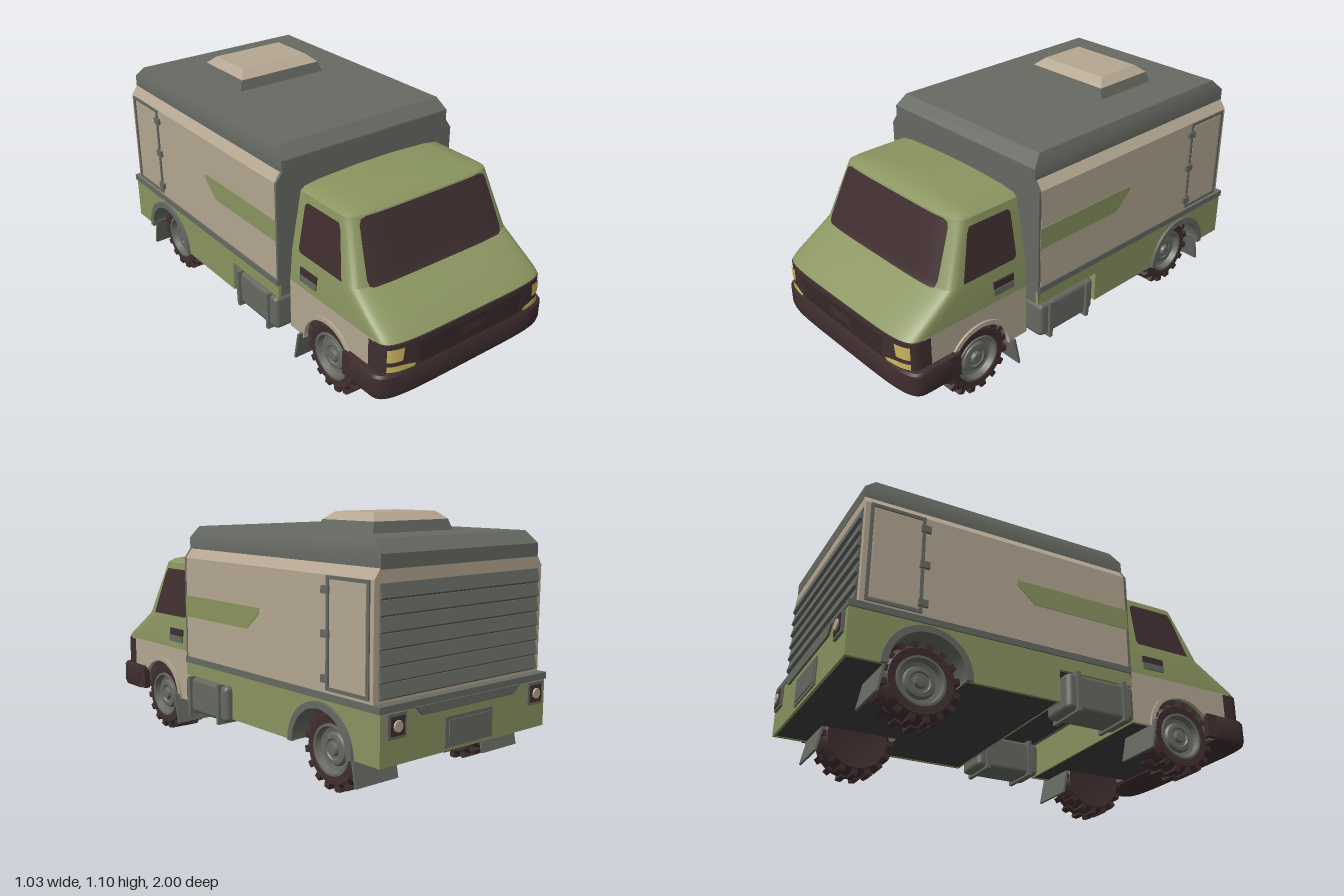
import * as THREE from 'three';
import { toCreasedNormals } from 'three/addons/utils/BufferGeometryUtils.js';
import { RoundedBoxGeometry } from 'three/addons/geometries/RoundedBoxGeometry.js';

const colour = (name, color, side = THREE.FrontSide) => {
  const m = new THREE.MeshStandardMaterial({ color, side });
  m.name = name;
  return m;
};

export function createModel() {
  const green = colour('olive green', 0x8a9560);
  const beige = colour('sand beige', 0xb5a792);
  const grey = colour('panel grey', 0x666a62, THREE.DoubleSide);
  const maroon = colour('dark maroon', 0x402e30);
  const black = colour('grille shadow', 0x2c2021);
  const yellow = colour('lamp yellow', 0xcbb35f);
  const floor = colour('underbody', 0x3c3e3b);

  const root = new THREE.Group();
  root.name = 'boxTruck';
  const add = (name, geo, mat, x = 0, y = 0, z = 0, parent = root) => {
    const m = new THREE.Mesh(geo, mat);
    m.name = name;
    m.position.set(x, y, z);
    parent.add(m);
    return m;
  };
  // box given by its limits
  const box = (name, mat, x0, x1, y0, y1, z0, z1) =>
    add(name, new THREE.BoxGeometry(x1 - x0, y1 - y0, z1 - z0), mat, (x0 + x1) / 2, (y0 + y1) / 2, (z0 + z1) / 2);
  const boxes = (name, mat, x0, x1, ...r) => {
    box(name, mat, x0, x1, ...r);
    box(name, mat, -x1, -x0, ...r);
  };
  const makeShape = pts => new THREE.Shape(pts.map(p => new THREE.Vector2(...p)));
  const extrude = (shape, depth) => new THREE.ExtrudeGeometry(shape, { depth, bevelEnabled: false, curveSegments: 16 });
  // plates drawn in (z, y), one on each side, outer face at x = X
  const sidePlates = (name, mat, shape, X, t) => {
    const geo = extrude(shape, t).rotateY(-Math.PI / 2);
    add(name, geo, mat, X);
    add(name, geo, mat, t - X);
  };
  const mesh = (pos, idx) => {
    const g = new THREE.BufferGeometry();
    g.setAttribute('position', new THREE.Float32BufferAttribute(pos.flat(), 3));
    g.setIndex(idx);
    return toCreasedNormals(g, 0.5);
  };
  // closed solid through rings stacked upwards
  const loft = rings => {
    const n = rings[0].length, idx = [], last = (rings.length - 1) * n;
    for (let i = 0; i < rings.length - 1; i++) for (let j = 0; j < n; j++) {
      const a = i * n + j, b = i * n + (j + 1) % n;
      idx.push(a, b, b + n, a, b + n, a + n);
    }
    for (let j = 1; j < n - 1; j++) idx.push(0, j + 1, j, last, last + j, last + j + 1);
    return mesh(rings.flat(), idx);
  };
  const rectRing = ([y, w, zf, zr]) => [[-w, y, zf], [w, y, zf], [w, y, zr], [-w, y, zr]];
  // outline with a rounded, bowed nose
  const noseRing = ([y, w, zf, d], zr) => {
    const ring = [];
    for (let i = -14; i <= 14; i++) {
      const a = i / 28 * Math.PI, s = Math.sin(a), c = Math.max(0, Math.cos(a));
      ring.push([w * Math.sign(s) * Math.abs(s) ** 0.4, y, zf - d + d * (Math.abs(i) === 14 ? 0 : c ** 0.4)]);
    }
    return [...ring, [w, y, zr], [-w, y, zr]];
  };
  const noseZ = (x, [, w, zf, d]) => zf - d + d * Math.max(0, 1 - Math.abs(x / w) ** 5) ** 0.2;
  const cabLevels = [[0.425, 0.446, 0.985, 0.12], [0.445, 0.445, 0.965, 0.12], [0.5, 0.44, 0.885, 0.12], [0.57, 0.434, 0.78, 0.11],
    [0.83, 0.387, 0.675, 0.1], [0.845, 0.366, 0.655, 0.1], [0.856, 0.29, 0.625, 0.1], [0.865, 0.1, 0.57, 0.08]];
  const cabAt = y => {
    const i = Math.max(1, cabLevels.findIndex(l => l[0] >= y)), a = cabLevels[i - 1], b = cabLevels[i];
    return a.map((v, k) => v + (b[k] - v) * (y - a[0]) / (b[0] - a[0]));
  };
  const panelAt = () => [0, 0.447, 0.988, 0.12];
  // thin skin on the nose; rows are [y, xLeft, xRight] going upwards
  const patch = (name, mat, rows, at, off = 0.006) => {
    const n = 20, pos = [], idx = [];
    rows.forEach(([y, xa, xb], r) => {
      for (let j = 0; j <= n; j++) {
        const x = xa + (xb - xa) * j / n;
        pos.push([x, y, noseZ(x, at(y)) + off]);
        if (r && j) { const c = r * (n + 1) + j, b = c - n - 1; idx.push(b - 1, b, c, b - 1, c, c - 1); }
      }
    });
    add(name, mesh(pos, idx), mat);
  };

  // cab shell and glass
  add('cab', loft(cabLevels.map(l => noseRing(l, 0.349))), green);
  patch('windscreen', maroon, [[0.568, -0.35, 0.35], [0.574, -0.366, 0.366], [0.6, -0.371, 0.371], [0.7, -0.359, 0.359],
    [0.8, -0.346, 0.346], [0.82, -0.336, 0.336], [0.828, -0.31, 0.31]], cabAt, 0.008);
  const pane = [[0.684, 0.578], [0.675, 0.61], [0.63, 0.775], [0.615, 0.8], [0.41, 0.8], [0.396, 0.785], [0.396, 0.595], [0.408, 0.58]];
  for (const s of [1, -1]) {
    const g = new THREE.ShapeGeometry(makeShape(pane.map(([z, y]) => [-s * z, y]))).rotateY(s * Math.PI / 2);
    const p = g.attributes.position;
    for (let i = 0; i < p.count; i++) p.setX(i, s * (cabAt(p.getY(i))[1] + 0.004));
    g.computeVertexNormals();
    add('sideWindow', g, maroon);
  }
  boxes('doorHandleRecess', maroon, 0.43, 0.446, 0.487, 0.52, 0.42, 0.53);
  boxes('doorHandle', grey, 0.43, 0.45, 0.457, 0.487, 0.42, 0.53);

  // skirts with wheel arches
  const frontZ = 0.614, rearZ = -0.645;
  const archedShape = (z0, cz, r, rest) => {
    const s = new THREE.Shape().moveTo(z0, 0.185);
    s.lineTo(cz - r, 0.185).absarc(cz, 0.185, r, Math.PI, 0, true);
    rest.forEach(p => s.lineTo(...p));
    return s;
  };
  const flare = (cz, r0, r1) => {
    const s = new THREE.Shape();
    s.absarc(cz, 0.185, r1, 0, Math.PI, false);
    s.absarc(cz, 0.185, r0, Math.PI, 0, true);
    return s;
  };
  sidePlates('cabSkirt', beige, archedShape(0.349, frontZ, 0.16, [[0.9, 0.185], [0.9, 0.425], [0.349, 0.425]]), 0.446, 0.015);
  sidePlates('rearSkirt', green, archedShape(-0.975, rearZ, 0.17,
    [[-0.05, 0.185], [-0.05, 0.33], [0.318, 0.33], [0.318, 0.392], [-0.975, 0.392]]), 0.487, 0.015);
  sidePlates('frontFlare', beige, flare(frontZ, 0.158, 0.178), 0.456, 0.02);
  sidePlates('rearFlare', grey, flare(rearZ, 0.165, 0.193), 0.5, 0.02);
  for (const s of [1, -1]) for (const [z, r, x] of [[frontZ, 0.16, 0.44], [rearZ, 0.17, 0.485]]) {
    const liner = new THREE.CylinderGeometry(r, r, x - 0.25, 18, 1, true, 0, Math.PI).rotateZ(Math.PI / 2);
    add('wheelWell', liner, grey, s * (x + 0.25) / 2, 0.185, z);
  }
  box('cabRearPanel', green, -0.445, 0.445, 0.185, 0.425, 0.345, 0.353);
  box('notchPanel', green, -0.487, 0.487, 0.185, 0.335, -0.054, -0.048);
  box('tailPanel', green, -0.487, 0.487, 0.185, 0.392, -0.978, -0.966);

  // underbody
  box('cabFloor', floor, -0.25, 0.25, 0.187, 0.42, 0.354, 0.93);
  box('chassis', floor, -0.25, 0.25, 0.187, 0.39, -0.966, -0.054);
  box('chassisStep', floor, -0.47, 0.47, 0.332, 0.39, -0.054, 0.312);
  boxes('cabFloorSide', floor, 0.25, 0.432, 0.187, 0.42, 0.354, frontZ - 0.16);
  boxes('cabFloorSide', floor, 0.25, 0.432, 0.187, 0.42, frontZ + 0.162, 0.9);
  boxes('chassisSide', floor, 0.25, 0.473, 0.187, 0.39, -0.966, rearZ - 0.17);
  boxes('chassisSide', floor, 0.25, 0.473, 0.187, 0.39, rearZ + 0.17, -0.054);

  // nose panel, lamps and bumper
  add('nosePanel', loft([0.285, 0.42].map(y => noseRing([y, 0.447, 0.988, 0.12], 0.89))), maroon);
  add('bumper', loft([[0.18, 0.47, 0.99, 0.12], [0.2, 0.476, 0.994, 0.12], [0.28, 0.476, 0.994, 0.12], [0.292, 0.47, 0.988, 0.12]]
    .map(l => noseRing(l, 0.79))), maroon);
  boxes('bumperEnd', maroon, 0.445, 0.474, 0.185, 0.292, 0.74, 0.8);
  for (let i = 0; i < 7; i++) {
    const y = 0.308 + i * 0.0135, x = 0.278 + i * 0.002;
    patch('grilleSlot', black, [[y, -x, x], [y + 0.006, -x, x]], panelAt, 0.003);
  }
  patch('grillePlate', maroon, [[0.34, -0.07, 0.07], [0.375, -0.07, 0.07]], panelAt, 0.007);
  const mirrorRows = rows => rows.map(([y, a, b]) => [y, -b, -a]);
  const lamp = [[0.345, 0.367, 0.43], [0.405, 0.36, 0.43]], signal = [[0.299, 0.31, 0.43], [0.312, 0.303, 0.43], [0.326, 0.375, 0.43]];
  for (const f of [r => r, mirrorRows]) {
    patch('headlamp', yellow, f(lamp), panelAt);
    patch('turnSignal', yellow, f(signal), panelAt);
  }

  // cargo box, bulkhead and roof
  const outline = makeShape([[-0.487, 0.39], [0.487, 0.39], [0.487, 0.876], [0.457, 0.917], [-0.457, 0.917], [-0.487, 0.876]]);
  add('cargoBox', extrude(outline, 1.245), beige, 0, 0, -0.94);
  const bulkhead = makeShape([[-0.487, 0.33], [0.487, 0.33], [0.487, 0.876], [0.457, 0.917], [0.44, 0.965], [-0.44, 0.965], [-0.457, 0.917], [-0.487, 0.876]]);
  add('bulkhead', extrude(bulkhead, 0.012), grey, 0, 0, 0.306);
  add('roof', loft([[0.912, 0.457, 0.316, -0.942], [0.968, 0.457, 0.316, -0.942], [1.02, 0.435, 0.27, -0.89]].map(rectRing)), grey);
  add('ventBase', loft([[1.018, 0.235, -0.322, -0.665], [1.066, 0.217, -0.337, -0.652]].map(rectRing)), grey);
  add('ventCap', loft([[1.066, 0.217, -0.337, -0.652], [1.1, 0.18, -0.382, -0.612]].map(rectRing)), beige);
  boxes('sideRail', grey, 0.47, 0.494, 0.39, 0.418, -0.978, 0.316);
  sidePlates('sideStripe', green, makeShape([[0.31, 0.605], [-0.165, 0.605], [-0.25, 0.68], [-0.25, 0.703], [0.31, 0.703]]), 0.49, 0.006);

  // side doors
  const frame = makeShape([[-0.92, 0.43], [-0.68, 0.43], [-0.68, 0.875], [-0.92, 0.875]]);
  frame.holes.push(new THREE.Path([[-0.906, 0.444], [-0.906, 0.861], [-0.694, 0.861], [-0.694, 0.444]].map(p => new THREE.Vector2(...p))));
  sidePlates('doorFrame', grey, frame, 0.493, 0.01);
  boxes('sideDoor', beige, 0.48, 0.49, 0.45, 0.855, -0.9, -0.7);
  for (const y of [0.475, 0.65, 0.82]) boxes('doorHinge', grey, 0.485, 0.5, y - 0.015, y + 0.015, -0.7, -0.658);

  // roller shutter with sloped slats
  const slat = makeShape([[0, 0], [0.016, 0.01], [0.004, 0.062], [0, 0.062]]);
  for (let i = 0; i < 7; i++)
    add('shutterSlat', extrude(slat, 0.92).rotateY(Math.PI / 2), grey, -0.46, 0.428 + i * 0.062, -0.939);
  box('tailSill', grey, -0.494, 0.494, 0.39, 0.418, -0.982, -0.935);
  const step = makeShape([[-0.27, 0.355], [0.27, 0.355], [0.31, 0.392], [-0.31, 0.392]]);
  add('tailStep', extrude(step, 0.012), grey, 0, 0, -0.988);
  box('tailPlateFrame', grey, -0.14, 0.14, 0.2, 0.325, -0.984, -0.97);
  box('tailPlate', grey, -0.12, 0.12, 0.215, 0.31, -0.988, -0.97);
  for (const s of [1, -1]) {
    box('tailLampFrame', grey, s * 0.41 - 0.048, s * 0.41 + 0.048, 0.29, 0.388, -0.99, -0.97);
    box('tailLampHousing', maroon, s * 0.41 - 0.036, s * 0.41 + 0.036, 0.302, 0.376, -0.994, -0.97);
    add('tailLamp', new THREE.CylinderGeometry(0.022, 0.028, 0.02, 12).rotateX(-Math.PI / 2), beige, s * 0.41, 0.339, -0.99);
  }

  // side tanks with straps
  for (const s of [1, -1]) {
    add('sideTank', new RoundedBoxGeometry(0.18, 0.165, 0.335, 1, 0.022), grey, s * 0.412, 0.2425, 0.147);
    for (const z of [0.03, 0.26]) add('tankStrap', new THREE.BoxGeometry(0.205, 0.18, 0.018), grey, s * 0.412, 0.24, z);
  }

  // wheels and mud flaps
  const lathe = pts => toCreasedNormals(new THREE.LatheGeometry(pts.map(p => new THREE.Vector2(...p)), 28), 0.5).rotateZ(-Math.PI / 2);
  const tyre = lathe([[0, -0.06], [0.1, -0.068], [0.14, -0.073], [0.156, -0.055], [0.163, -0.03], [0.163, 0.03], [0.156, 0.055], [0.14, 0.073], [0.104, 0.07], [0.1, 0.04]]);
  const rim = lathe([[0.108, 0.066], [0.106, 0.077], [0.096, 0.077], [0.088, 0.05], [0.07, 0.046], [0.062, 0.06], [0.045, 0.062], [0.04, 0.056], [0.028, 0.056], [0.024, 0.072], [0, 0.074]]);
  const lug = new THREE.BoxGeometry(0.07, 0.016, 0.026);
  const shoulder = new THREE.BoxGeometry(0.012, 0.03, 0.026);
  for (const s of [1, -1]) for (const z of [frontZ, rearZ]) {
    const wheel = new THREE.Group();
    wheel.name = z > 0 ? 'frontWheel' : 'rearWheel';
    wheel.position.set(s * 0.358, 0.172, z);
    if (s < 0) wheel.rotation.y = Math.PI;
    root.add(wheel);
    add('tyre', tyre, maroon, 0, 0, 0, wheel);
    add('rim', rim, grey, 0, 0, 0, wheel);
    for (let i = 0; i < 32; i++) {
      const a = i / 32 * Math.PI * 2, side = i % 2 ? 1 : -1;
      const m = add('treadLug', lug, maroon, side * 0.03, 0.164 * Math.cos(a), 0.164 * Math.sin(a), wheel);
      m.rotation.x = a;
      const e = add('shoulderLug', shoulder, maroon, side * 0.064, 0.152 * Math.cos(a), 0.152 * Math.sin(a), wheel);
      e.rotation.x = a;
    }
    const flap = add('mudFlap', new THREE.BoxGeometry(0.225, 0.14, 0.01), grey, s * 0.367, 0.14, z - 0.182);
    flap.rotation.x = 0.2;
  }
  return root;
}
